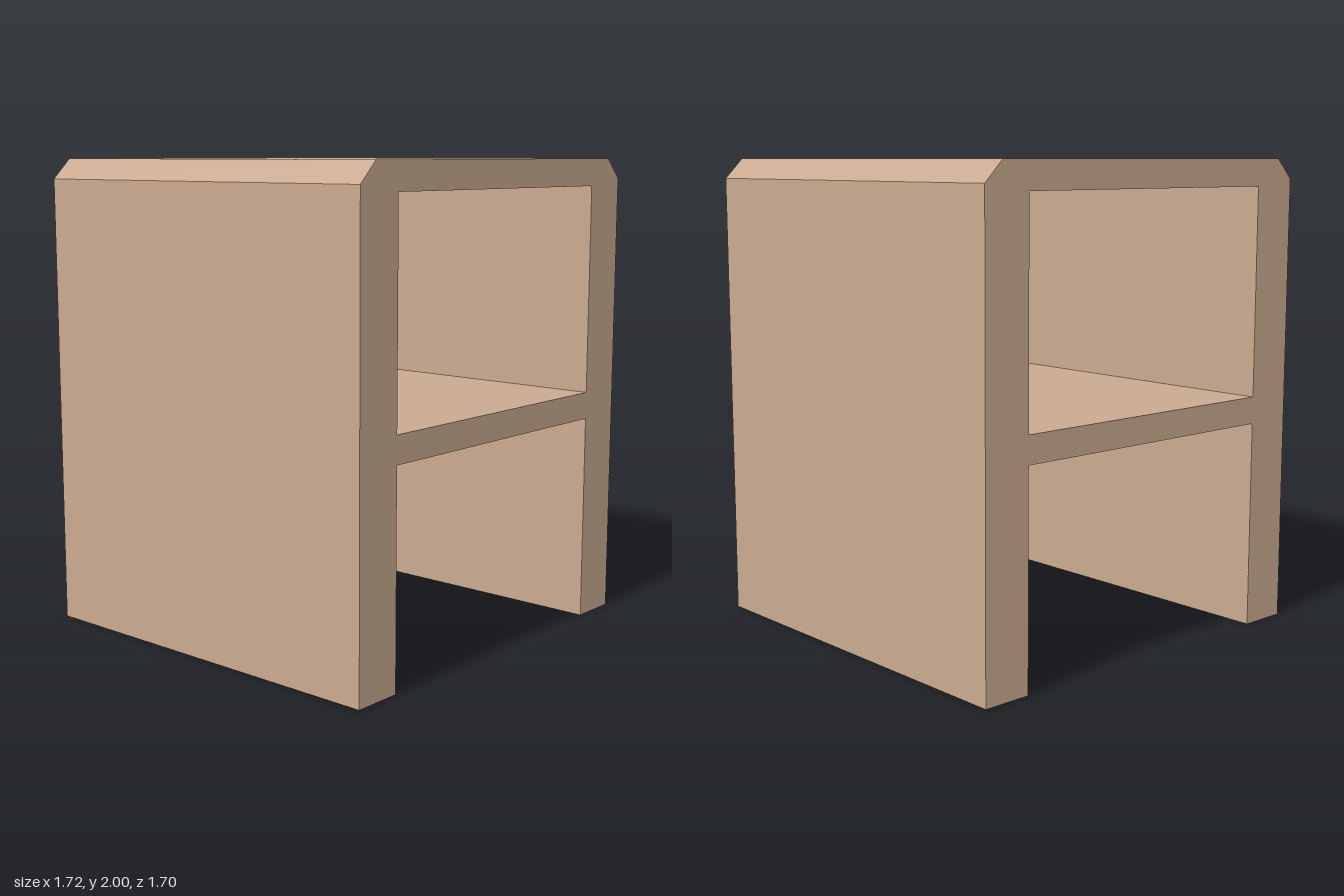
import * as THREE from 'three';

const HALF_WIDTH = 0.86, HEIGHT = 2, DEPTH = 1.7;
const CHAMFER = 0.085, INNER = 0.648;
const SHELF_TOP = 1.0, SHELF_BOTTOM = 0.885, TOP_UNDERSIDE = 1.885;

const points = (list) => list.map(([x, y]) => new THREE.Vector2(x, y));

export function createModel() {
  const group = new THREE.Group();
  group.name = 'sideTable';

  const wood = new THREE.MeshStandardMaterial({ color: 0xcaaa90 });
  wood.name = 'light wood';

  // Outline: two thick legs, chamfered top and the open space under the shelf
  const profile = new THREE.Shape(points([
    [-HALF_WIDTH, 0], [-INNER, 0],
    [-INNER, SHELF_BOTTOM], [INNER, SHELF_BOTTOM],
    [INNER, 0], [HALF_WIDTH, 0],
    [HALF_WIDTH, HEIGHT - CHAMFER], [HALF_WIDTH - CHAMFER, HEIGHT],
    [-HALF_WIDTH + CHAMFER, HEIGHT], [-HALF_WIDTH, HEIGHT - CHAMFER],
  ]));

  // Open compartment between shelf and top
  profile.holes.push(new THREE.Path(points([
    [-INNER, SHELF_TOP], [-INNER, TOP_UNDERSIDE],
    [INNER, TOP_UNDERSIDE], [INNER, SHELF_TOP],
  ])));

  // Whole body runs straight from front to back
  const geometry = new THREE.ExtrudeGeometry(profile, { depth: DEPTH, bevelEnabled: false });
  geometry.translate(0, 0, -DEPTH / 2);
  const frame = new THREE.Mesh(geometry, wood);
  frame.name = 'frameWithShelf';
  group.add(frame);

  return group;
}
